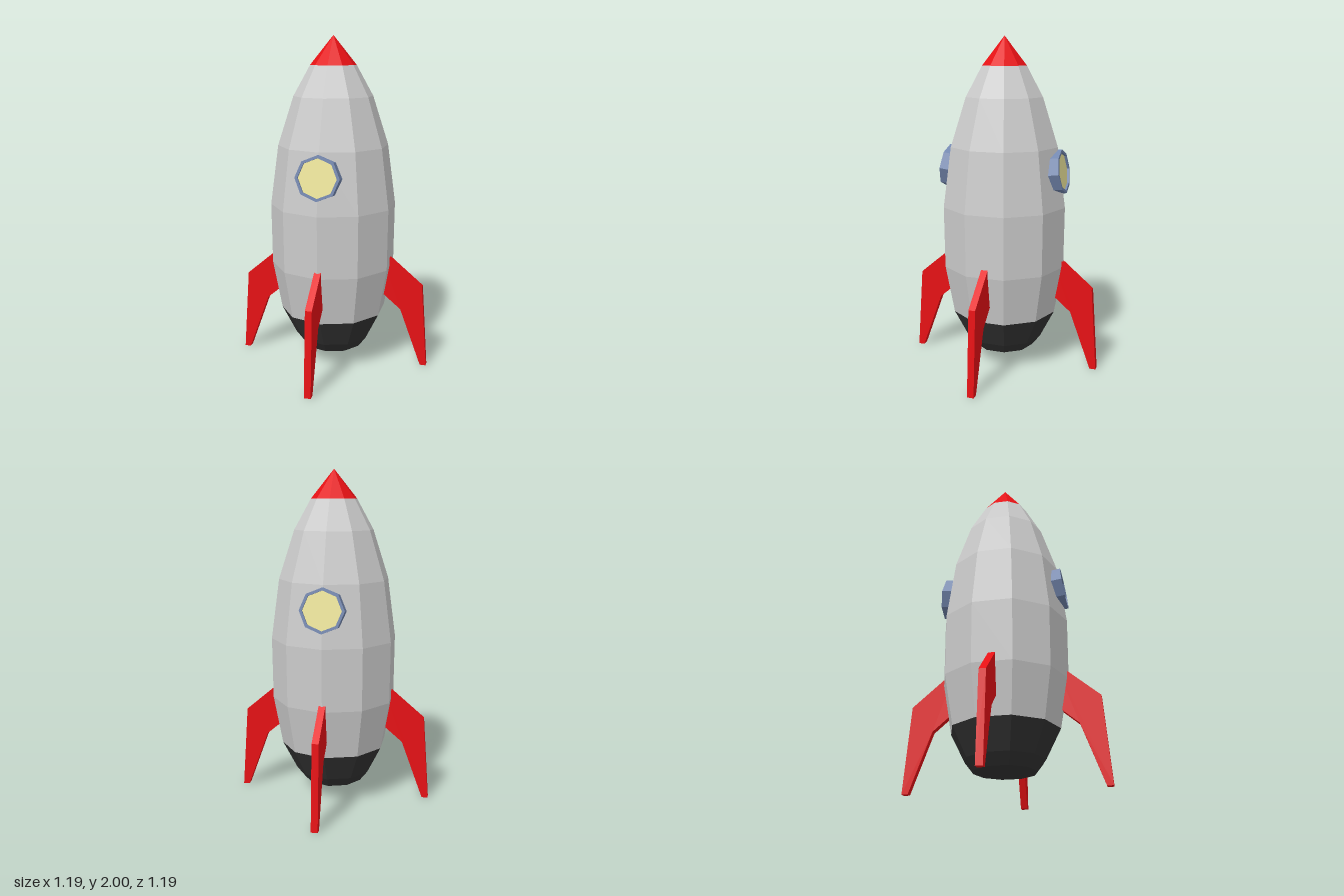
import * as THREE from 'three';

const mat = (color) => new THREE.MeshStandardMaterial({ color, flatShading: true });
const hull = mat(0xcccccc), red = mat(0xe61014), dark = mat(0x333333);
const frameBlue = mat(0x7488b0), glassYellow = mat(0xefe79c);

const part = (name, geometry, material) => {
  const mesh = new THREE.Mesh(geometry, material);
  mesh.name = name;
  return mesh;
};

const vectors = (pairs) => pairs.map(([x, y]) => new THREE.Vector2(x, y));

// Ten-sided turned section from [radius, height] pairs, bottom to top
const turned = (pairs) => new THREE.LatheGeometry(vectors(pairs), 10);

const octagon = (r) => Array.from({ length: 8 }, (_, i) =>
  new THREE.Vector2(r * Math.cos(i * Math.PI / 4), r * Math.sin(i * Math.PI / 4)));

// Flat swept fin lying in the xy plane, its root sunk into the hull
function createFin() {
  const outline = vectors([
    [0.30, 0.73], [0.30, 0.465], [0.43, 0.355], [0.56, 0], [0.597, 0], [0.56, 0.51],
  ]);
  const geometry = new THREE.ExtrudeGeometry(new THREE.Shape(outline), { depth: 0.04, bevelEnabled: false });
  geometry.translate(0, 0, -0.02);
  return part('fin', geometry, red);
}

// Octagonal porthole: frame ring with a slightly recessed pane
function createPorthole() {
  const porthole = new THREE.Group();
  const ring = new THREE.Shape(octagon(0.131));
  ring.holes.push(new THREE.Path(octagon(0.114)));
  const frame = new THREE.ExtrudeGeometry(ring, { depth: 0.1, bevelEnabled: false });
  frame.translate(0, 0, -0.1);
  const pane = new THREE.ShapeGeometry(new THREE.Shape(octagon(0.115)));
  pane.translate(0, 0, -0.012);
  porthole.add(part('portholeFrame', frame, frameBlue), part('portholeGlass', pane, glassYellow));
  porthole.position.set(0, 1.22, 0.372);
  porthole.rotation.x = -0.13;
  return porthole;
}

export function createModel() {
  const rocket = new THREE.Group();
  rocket.name = 'rocket';

  // Fuselage sections
  rocket.add(
    part('engineBase', turned([[0, 0.1], [0.184, 0.1], [0.235, 0.165], [0.322, 0.335]]), dark),
    part('hull', turned([[0.322, 0.335], [0.376, 0.63], [0.38, 1.0], [0.331, 1.36], [0.237, 1.65], [0.137, 1.83]]), hull),
    part('noseCone', turned([[0.137, 1.83], [0, 2]]), red),
  );

  // Four fins around the tail
  for (let i = 0; i < 4; i++) {
    const fin = createFin();
    fin.rotation.y = i * Math.PI / 2;
    rocket.add(fin);
  }

  // Portholes at front and back
  ['frontPorthole', 'backPorthole'].forEach((name, i) => {
    const side = new THREE.Group();
    side.name = name;
    side.add(createPorthole());
    side.rotation.y = i * Math.PI;
    rocket.add(side);
  });

  return rocket;
}
